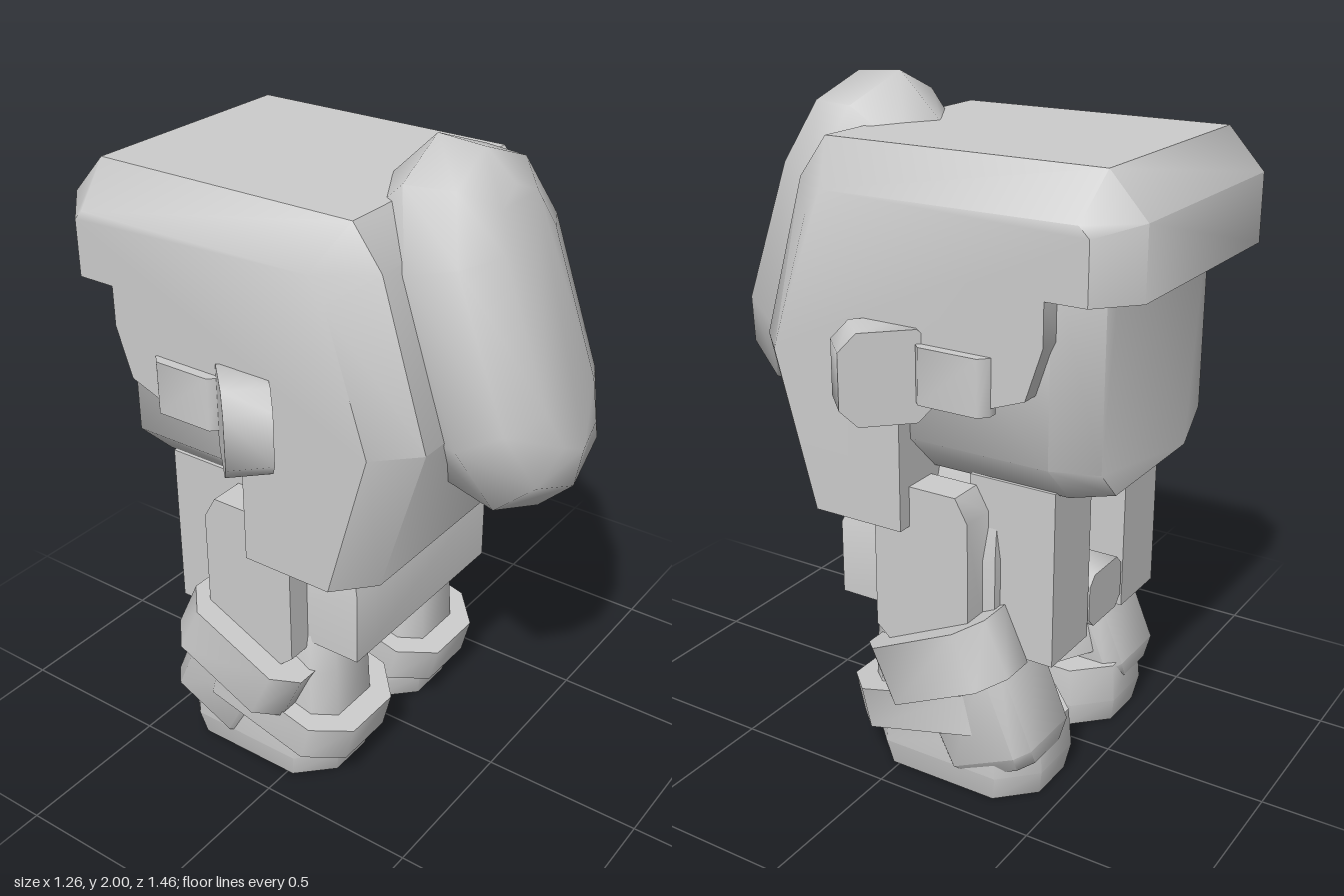
import * as THREE from 'three';
import { toCreasedNormals } from 'three/addons/utils/BufferGeometryUtils.js';

// Skin a stack of matching counter-clockwise outlines along +z and cap both ends
function loft(sections, crease = 0.8) {
  const n = sections[0].pts.length, pos = [], index = [];
  for (const s of sections) for (const [u, v] of s.pts) pos.push(u, v, s.w);
  for (let k = 0; k < sections.length - 1; k++) {
    for (let i = 0; i < n; i++) {
      const a = k * n + i, b = k * n + (i + 1) % n;
      index.push(a, b, b + n, a, b + n, a + n);
    }
  }
  const cap = (s) => THREE.ShapeUtils.triangulateShape(s.pts.map((p) => new THREE.Vector2(...p)), []);
  const last = (sections.length - 1) * n;
  for (const [a, b, c] of cap(sections[0])) index.push(c, b, a);
  for (const [a, b, c] of cap(sections.at(-1))) index.push(a + last, b + last, c + last);
  const g = new THREE.BufferGeometry();
  g.setAttribute('position', new THREE.Float32BufferAttribute(pos, 3));
  g.setIndex(index);
  return toCreasedNormals(g, crease);
}

// Rectangle with cut corners, half sizes a and b, cut c
const oct = (a, b, c, u = 0, v = 0) => [
  [a, c - b], [a, b - c], [a - c, b], [c - a, b],
  [-a, b - c], [-a, c - b], [c - a, -b], [a - c, -b],
].map(([x, y]) => [x + u, y + v]);

const prism = (a, b, c, depth) => loft([
  { w: -depth / 2, pts: oct(a, b, c) }, { w: depth / 2, pts: oct(a, b, c) }]);

export function createModel() {
  const root = new THREE.Group();
  const grey = new THREE.MeshStandardMaterial({ color: 0xcccccc });
  grey.name = 'light grey';

  const add = (name, geometry, x = 0, y = 0, z = 0) => {
    const m = new THREE.Mesh(geometry, grey);
    m.name = name;
    m.position.set(x, y, z);
    root.add(m);
    return m;
  };

  // Hair: side profile as [z, y] for the middle and the inset outer ends
  const notch = [[-0.07, 0.82], [-0.07, 1.17], [-0.14, 1.22], [-0.3, 1.22],
    [-0.46, 1.28], [-0.51, 1.43], [-0.51, 1.55]];
  const middle = [[0.23, 1.87], [0.32, 1.75], [0.46, 1.28], [0.32, 0.82], ...notch,
    [-0.73, 1.55], [-0.73, 1.75], [-0.62, 1.87]];
  const outer = [[0.17, 1.75], [0.22, 1.68], [0.35, 1.28], [0.22, 0.82], ...notch,
    [-0.63, 1.55], [-0.63, 1.72], [-0.6, 1.75]];
  const side = (list) => list.map(([z, y]) => [-z, y]).reverse();
  // Reversed or not, keep the outline counter-clockwise
  const ccw = (p) => (THREE.ShapeUtils.area(p.map(([x, y]) => ({ x, y }))) < 0 ? [...p].reverse() : p);
  const hair = loft([[-0.475, outer], [-0.365, middle], [0.365, middle], [0.475, outer]]
    .map(([w, list]) => ({ w, pts: ccw(side(list)) })));
  add('hair', hair.rotateY(Math.PI / 2));

  // Tied bundle of hair: a thick rounded slab leaning into the head
  const bundle = (w, a, h, r) => ({
    w,
    pts: [[a, r - h], [a, h - r], [a * 0.69, h - r * 0.28], [0, h],
      [-a * 0.69, h - r * 0.28], [-a, h - r], [-a, r - h],
      [-a * 0.69, r * 0.28 - h], [0, -h], [a * 0.69, r * 0.28 - h]].map(([x, y]) => [x, y + 1.268]),
  });
  add('hairBundle', loft([
    bundle(0.72, 0.21, 0.45, 0.25), bundle(0.905, 0.295, 0.532, 0.29),
    bundle(1.037, 0.25, 0.474, 0.25), bundle(1.1, 0.13, 0.366, 0.15),
  ], 1.0).rotateX(-0.347));

  // Head with a flat face
  add('head', loft([
    { w: -0.6, pts: oct(0.31, 0.42, 0.09, 0, 1.38) },
    { w: -0.5, pts: oct(0.42, 0.42, 0.12, 0, 1.38) },
    { w: 0.1, pts: oct(0.42, 0.42, 0.12, 0, 1.38) },
  ], 0.95));

  // Torso narrowing to the shoulders
  const slab = (w, x, z0, z1) => ({ w, pts: [[x, -z1], [x, -z0], [-x, -z0], [-x, -z1]] });
  add('torso', loft([
    slab(0.5, 0.35, -0.3, 0.23), slab(0.73, 0.35, -0.3, 0.23), slab(1.0, 0.26, -0.26, 0.12),
  ]).rotateX(-Math.PI / 2));
  add('beltBuckle', prism(0.1, 0.083, 0.03, 0.12), 0, 0.538, -0.41);

  const upright = (a, b, c, h) => prism(a, b, c, h).rotateX(-Math.PI / 2);
  for (const s of [1, -1]) {
    const tag = s > 0 ? 'left' : 'right';

    // Ear and the lock of hair behind it
    add(tag + 'Ear', prism(0.13, 0.13, 0.05, 0.13), s * 0.493, 1.29, -0.037).rotation.y = -s * Math.PI / 4;
    add(tag + 'SideLock', upright(0.04, 0.115, 0.025, 0.16), s * 0.465, 1.3, -0.245);

    // Jacket panel
    add(tag + 'JacketPanel', new THREE.BoxGeometry(0.21, 0.53, 0.27), s * 0.215, 0.705, -0.335);

    // Arm: sleeve, cuff and hand
    const sleeve = [[0.26, 0.42], [0.26, 0.87], [0.22, 0.94], [-0.05, 0.94], [-0.05, 0.48], [0.02, 0.42]];
    add(tag + 'Sleeve', loft([-0.055, 0.055].map((w) => ({ w, pts: ccw(sleeve) })))
      .rotateY(Math.PI / 2), s * 0.375, 0, 0);
    add(tag + 'Cuff', upright(0.125, 0.22, 0.07, 0.18), s * 0.375, 0.42, -0.155).rotation.x = 0.44;
    add(tag + 'Hand', loft([
      { w: -0.15, pts: oct(0.11, 0.12, 0.04) }, { w: -0.1, pts: oct(0.145, 0.15, 0.04) },
      { w: 0.18, pts: oct(0.145, 0.16, 0.04) },
    ], 0.9).rotateX(-Math.PI / 2), s * 0.285, 0.22, -0.27).rotation.x = 0.44;

    // Leg, boot band and shoe
    add(tag + 'Leg', loft([
      { w: 0.15, pts: oct(0.145, 0.18, 0.06) }, { w: 0.4, pts: oct(0.14, 0.17, 0.06) },
      { w: 0.52, pts: oct(0.115, 0.15, 0.05) },
    ]).rotateX(-Math.PI / 2), s * 0.235, 0, -0.04);
    add(tag + 'BootBand', upright(0.2, 0.28, 0.1, 0.125), s * 0.235, 0.225, -0.08).rotation.x = 0.25;
    add(tag + 'Shoe', loft([
      { w: 0, pts: oct(0.175, 0.275, 0.1) }, { w: 0.08, pts: oct(0.19, 0.29, 0.1) },
      { w: 0.2, pts: oct(0.185, 0.28, 0.1) },
    ]).rotateX(-Math.PI / 2), s * 0.23, 0, -0.155);
  }
  return root;
}
